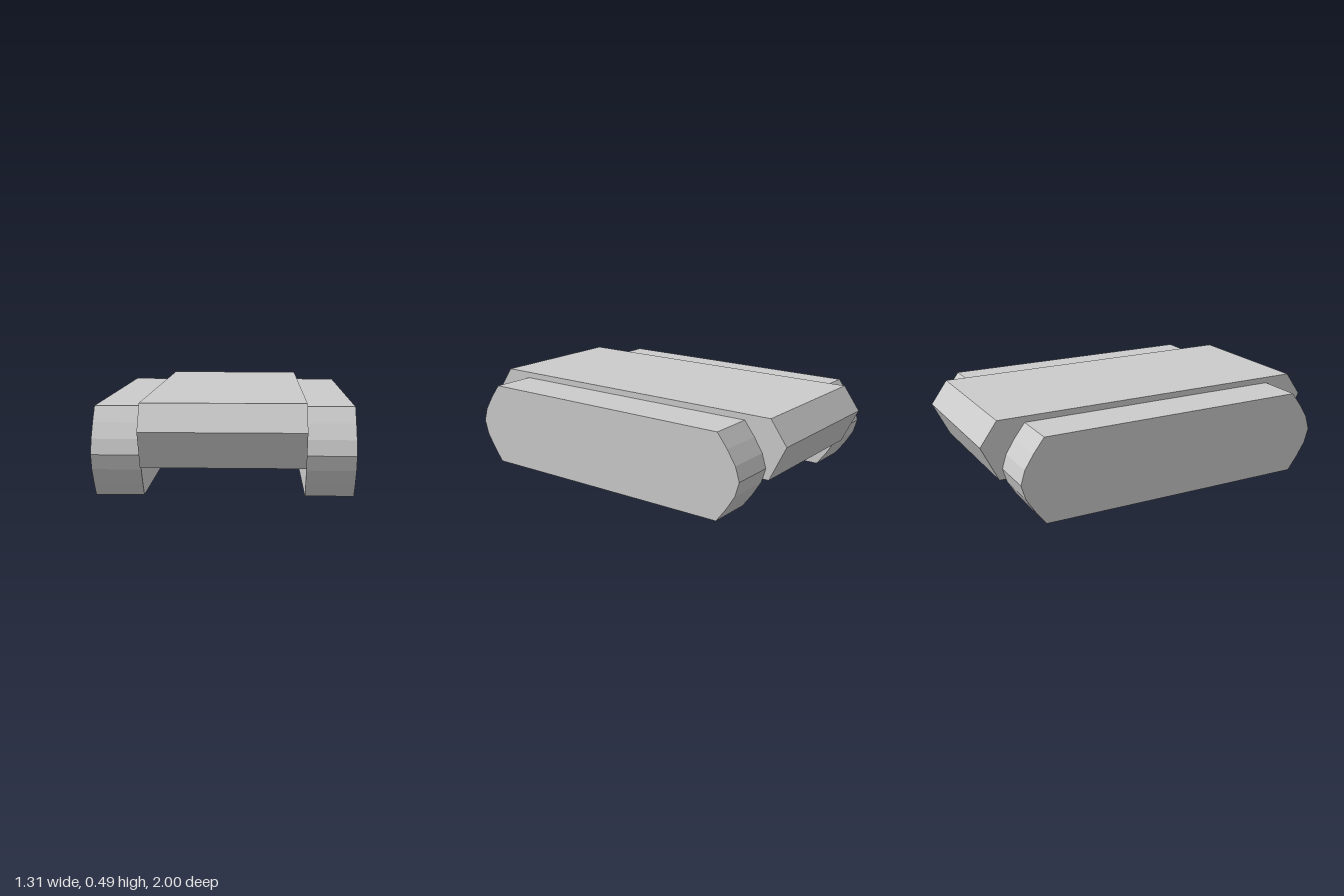
import * as THREE from 'three';

const material = new THREE.MeshStandardMaterial({ color: 0xcccccc, flatShading: true });

// Side profile of [z, y] points, mirrored front to back and extruded along x
function slab(name, frontEdge, width, x, z = 0) {
  const backEdge = frontEdge.map(([pz, py]) => [-pz, py]).reverse();
  const shape = new THREE.Shape([...frontEdge, ...backEdge].map(([pz, py]) => new THREE.Vector2(pz, py)));
  const geometry = new THREE.ExtrudeGeometry(shape, { depth: width, bevelEnabled: false });
  geometry.translate(0, 0, -width / 2);
  geometry.rotateY(-Math.PI / 2);
  const mesh = new THREE.Mesh(geometry, material);
  mesh.name = name;
  mesh.position.set(x, 0, z);
  return mesh;
}

export function createModel() {
  const model = new THREE.Group();
  model.name = 'trackedChassis';

  // Central hull with pointed nose and tail
  model.add(slab('hull', [[0.905, 0.17], [1, 0.36], [0.907, 0.49]], 0.816, 0));

  // Track units with faceted, rounded ends
  const trackEnd = [
    [0.755, 0], [0.813, 0.076], [0.861, 0.152], [0.884, 0.229],
    [0.861, 0.305], [0.813, 0.381], [0.755, 0.457],
  ];
  for (const side of [1, -1]) {
    model.add(slab(side > 0 ? 'leftTrack' : 'rightTrack', trackEnd, 0.247, side * 0.5315, -0.003));
  }
  return model;
}
